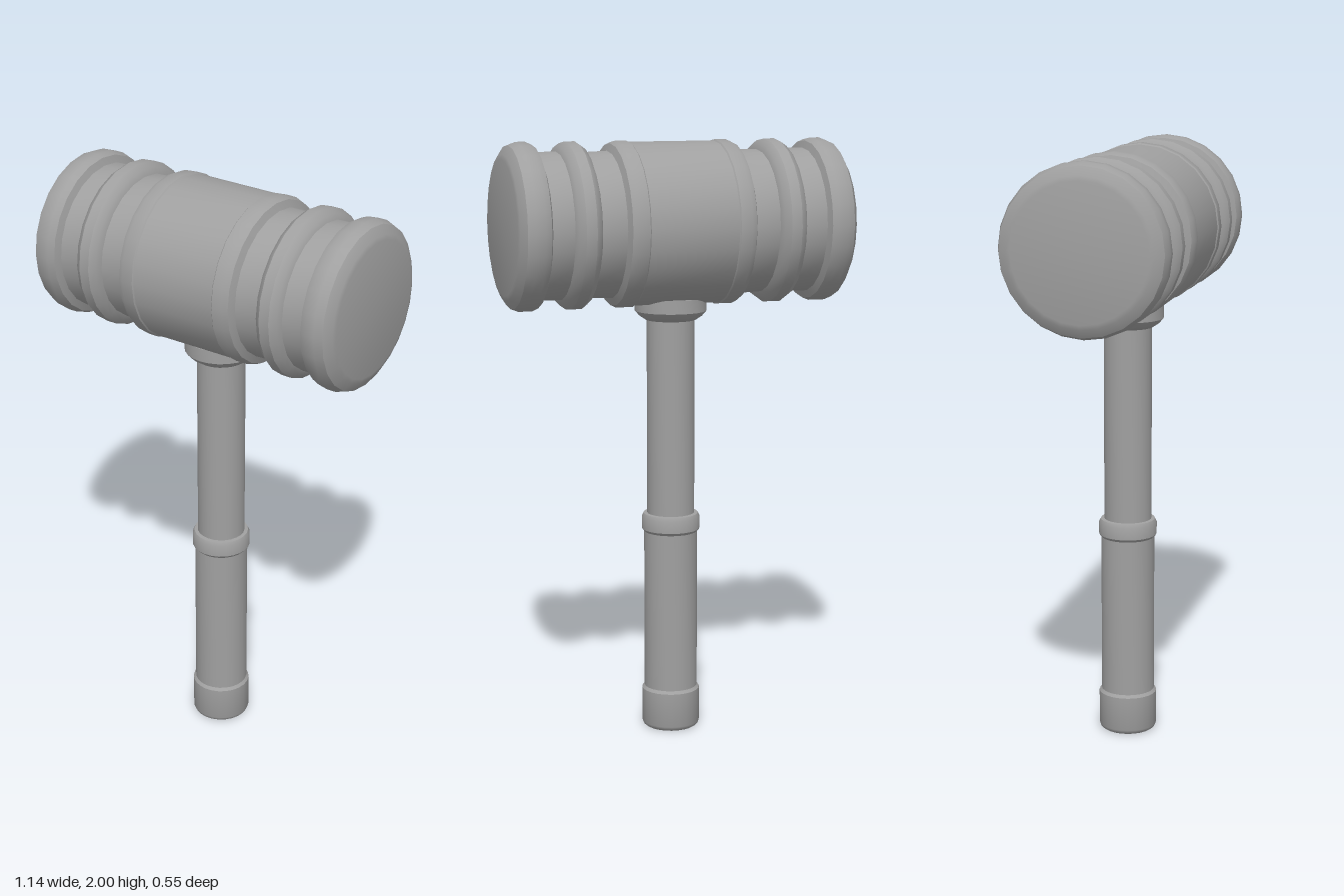
import * as THREE from 'three';
import { toCreasedNormals } from 'three/addons/utils/BufferGeometryUtils.js';

const SIDES = 24;

// Turned part: profile of [radius, height] pairs from bottom to top
function turned(name, profile, material) {
  const points = profile.map(([r, y]) => new THREE.Vector2(r, y));
  const geometry = toCreasedNormals(new THREE.LatheGeometry(points, SIDES), 0.6);
  const mesh = new THREE.Mesh(geometry, material);
  mesh.name = name;
  return mesh;
}

export function createModel() {
  const model = new THREE.Group();
  model.name = 'mallet';
  const grey = new THREE.MeshStandardMaterial({ color: 0xa0a0a0 });
  grey.name = 'grey';

  // Half of the head, from the middle out to the striking face
  const half = [
    [0.268, 0.148], [0.272, 0.152], [0.272, 0.19], [0.264, 0.207], [0.24, 0.217], // centre band
    [0.237, 0.298], [0.258, 0.306], [0.272, 0.325], [0.272, 0.36], [0.258, 0.38], [0.24, 0.388], // ring
    [0.24, 0.46], [0.264, 0.469], [0.273, 0.49], [0.273, 0.52], [0.263, 0.546], [0.235, 0.564], // rim
    [0.22, 0.568], [0, 0.568],
  ];
  const mirrored = half.map(([r, y]) => [r, -y]).reverse();
  const head = turned('head', [...mirrored, ...half], grey);
  head.rotation.z = -Math.PI / 2;
  head.position.y = 1.728;
  model.add(head);

  // Flared collar under the head
  model.add(turned('collar', [
    [0.07, 1.408], [0.085, 1.41], [0.106, 1.424], [0.12, 1.44], [0.12, 1.485], [0, 1.485],
  ], grey));

  // Upper handle
  model.add(turned('shaft', [[0.08, 0.72], [0.08, 1.43]], grey));

  // Ring above the grip
  model.add(turned('gripRing', [
    [0.088, 0.685], [0.098, 0.697], [0.098, 0.738], [0.092, 0.75], [0.075, 0.752],
  ], grey));

  // Grip
  model.add(turned('grip', [[0.09, 0.12], [0.09, 0.7]], grey));

  // End cap the mallet stands on
  model.add(turned('pommel', [
    [0, 0], [0.086, 0], [0.094, 0.006], [0.098, 0.016], [0.098, 0.133], [0.088, 0.145],
  ], grey));

  return model;
}
